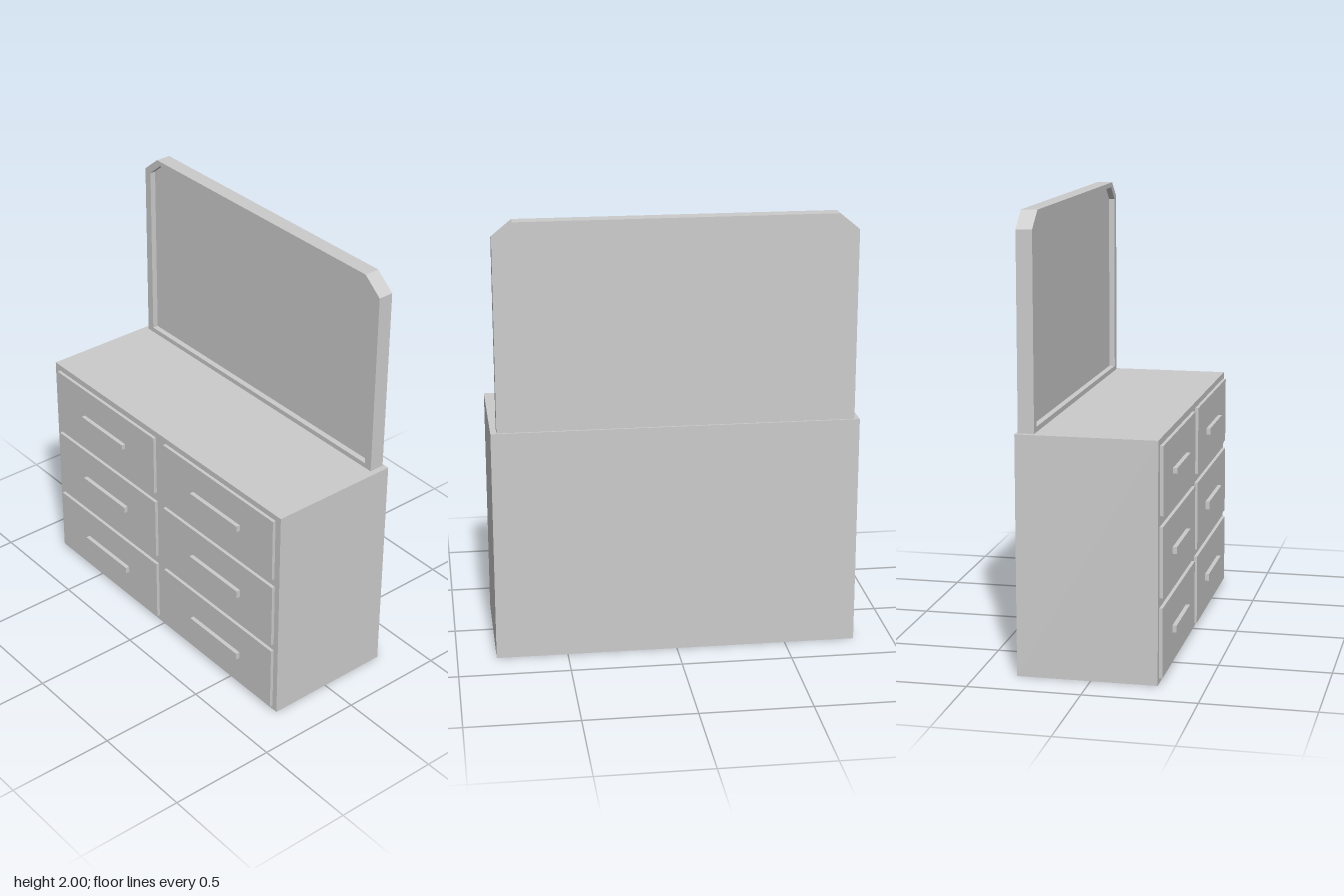
import * as THREE from 'three';

const material = new THREE.MeshStandardMaterial({ color: 0xcccccc, flatShading: true });

// Box given by its lower and upper limits on each axis
function box(name, [x0, x1], [y0, y1], [z0, z1]) {
  const mesh = new THREE.Mesh(new THREE.BoxGeometry(x1 - x0, y1 - y0, z1 - z0), material);
  mesh.name = name;
  mesh.position.set((x0 + x1) / 2, (y0 + y1) / 2, (z0 + z1) / 2);
  return mesh;
}

// Upright rectangle with its two top corners cut off
function cutCorners(x0, x1, y0, y1, cutX, cutY) {
  return [[x0, y0], [x1, y0], [x1, y1 - cutY], [x1 - cutX, y1], [x0 + cutX, y1], [x0, y1 - cutY]]
    .map(([x, y]) => new THREE.Vector2(x, y));
}

function panel(name, shape, z0, z1) {
  const geometry = new THREE.ExtrudeGeometry(shape, { depth: z1 - z0, bevelEnabled: false });
  geometry.translate(0, 0, z0);
  const mesh = new THREE.Mesh(geometry, material);
  mesh.name = name;
  return mesh;
}

export function createModel() {
  const model = new THREE.Group();
  model.name = 'dresser';

  // Cabinet
  const front = 0.293;
  model.add(box('cabinet', [-0.823, 0.823], [0, 1.065], [-0.325, front]));

  // Drawers in three rows and two columns, the columns differing slightly
  const drawers = [
    { name: 'topRightDrawer', x: [-0.788, -0.042], y: [0.735, 1.036], gripX: [-0.574, -0.259], gripY: [0.87, 0.895] },
    { name: 'topLeftDrawer', x: [0.03, 0.79], y: [0.73, 1.038], gripX: [0.246, 0.572], gripY: [0.87, 0.9] },
    { name: 'middleRightDrawer', x: [-0.793, -0.037], y: [0.379, 0.688], gripX: [-0.577, -0.254], gripY: [0.516, 0.546] },
    { name: 'middleLeftDrawer', x: [0.024, 0.794], y: [0.373, 0.69], gripX: [0.241, 0.577], gripY: [0.512, 0.55] },
    { name: 'bottomRightDrawer', x: [-0.795, -0.036], y: [0.024, 0.334], gripX: [-0.577, -0.254], gripY: [0.162, 0.193] },
    { name: 'bottomLeftDrawer', x: [0.024, 0.795], y: [0.019, 0.339], gripX: [0.243, 0.577], gripY: [0.162, 0.196] },
  ];
  for (const d of drawers) {
    const drawer = new THREE.Group();
    drawer.name = d.name;
    drawer.add(box('drawerFront', d.x, d.y, [front - 0.01, 0.308]));
    drawer.add(box('handle', d.gripX, d.gripY, [0.303, 0.327]));
    model.add(drawer);
  }

  // Mirror: a frame with an opening, and the glass set back inside it
  const mirror = new THREE.Group();
  mirror.name = 'mirror';
  const opening = cutCorners(-0.762, 0.758, 1.088, 1.978, 0.074, 0.063);
  const frame = new THREE.Shape(cutCorners(-0.8, 0.796, 1.065, 2, 0.09, 0.074));
  const backing = frame.clone();
  frame.holes.push(new THREE.Path(opening));
  const frameFront = -0.245, glassFront = -0.272;
  mirror.add(panel('mirrorFrame', frame, glassFront, frameFront));
  mirror.add(panel('mirrorGlassAndBack', backing, -0.316, glassFront));
  model.add(mirror);

  return model;
}
